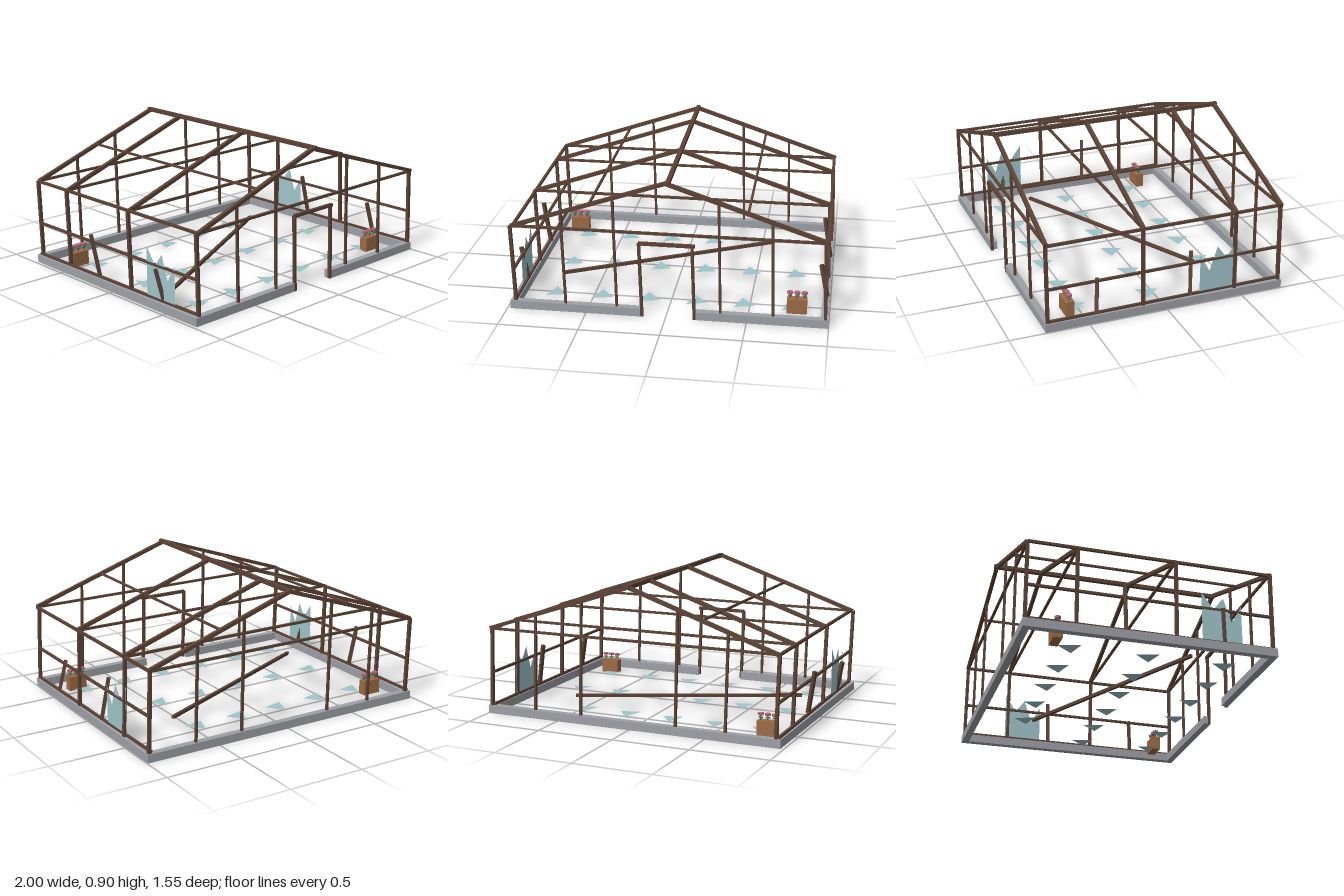
import * as THREE from 'three';

const mat = (name, color, extra = {}) => new THREE.MeshStandardMaterial({ name, color, ...extra });

export function createModel() {
  const beam = mat('old timber', 0x5d4336);
  const stone = mat('stone grey', 0x9da0a6);
  const glass = mat('pale glass', 0x9fc5ca, { side: THREE.DoubleSide });
  const crate = mat('planter wood', 0x9c6b45);
  const leaf = mat('leaf green', 0x47755a);
  const petal = mat('flower pink', 0xb5667c);

  const root = new THREE.Group();
  root.name = 'ruinedGreenhouse';
  const model = new THREE.Group();
  model.name = 'building';
  model.position.x = 0.008;
  root.add(model);

  const add = (name, geo, material, x = 0, y = 0, z = 0, parent = model) => {
    const m = new THREE.Mesh(geo, material);
    m.name = name;
    m.position.set(x, y, z);
    parent.add(m);
    return m;
  };
  const box = (name, material, w, h, d, x, y, z, parent) =>
    add(name, new THREE.BoxGeometry(w, h, d), material, x, y, z, parent);
  // Square bar between two points
  const bar = (name, a, b, t) => {
    const p = new THREE.Vector3(...a), q = new THREE.Vector3(...b);
    const m = add(name, new THREE.BoxGeometry(t, t, p.distanceTo(q)), beam);
    m.position.copy(p).add(q).multiplyScalar(0.5);
    m.lookAt(q);
    return m;
  };

  const X = 0.963, Z = 0.757, BASE = 0.053, EAVE = 0.555, RIDGE = 0.88, DOOR = 0.163;
  const roofY = x => RIDGE - (RIDGE - EAVE) * Math.abs(x) / X;

  // Foundation, open at the doorway
  const FX = 0.988, FZ = 0.774, FW = 0.045;
  box('backFoundation', stone, FX * 2, BASE, FW, 0, BASE / 2, -FZ + FW / 2);
  for (const s of [-1, 1]) {
    box('sideFoundation', stone, FW, BASE, FZ * 2 - FW * 2, s * (FX - FW / 2), BASE / 2, 0);
    box('frontFoundation', stone, FX - DOOR, BASE, FW, s * (FX + DOOR) / 2, BASE / 2, FZ - FW / 2);
  }

  // Frames: posts, rafters and tie beams
  for (const z of [Z, 0.152, -0.455, -Z]) {
    bar('tieBeam', [-X, EAVE, z], [X, EAVE, z], 0.015);
    for (const s of [-1, 1]) {
      bar('sidePost', [s * X, BASE, z], [s * X, EAVE, z], 0.02);
      bar('rafter', [s * (X + 0.005), EAVE, z], [0, RIDGE, z], 0.023);
    }
  }

  // Gable studs
  for (const z of [Z, -Z]) for (const x of [-0.645, -0.322, 0.322, 0.645])
    bar('gableStud', [x, BASE, z], [x, roofY(x), z], 0.015);

  // Lengthwise members
  bar('ridgeBeam', [0, RIDGE + 0.003, FZ], [0, RIDGE + 0.003, -FZ], 0.025);
  for (const s of [-1, 1]) {
    bar('purlin', [s * 0.483, 0.719, Z], [s * 0.483, 0.719, -Z], 0.013);
    bar('eaveBeam', [s * X, EAVE, Z], [s * X, EAVE, -Z], 0.016);
    bar('sideRail', [s * X, 0.272, Z], [s * X, 0.272, -Z], 0.015);
    bar('sillPlate', [s * X, 0.06, Z], [s * X, 0.06, -Z], 0.015);
  }

  // Door frame
  for (const s of [-1, 1]) bar('doorJamb', [s * DOOR, 0, 0.766], [s * DOOR, 0.49, 0.766], 0.018);
  bar('doorHeader', [-DOOR - 0.009, 0.489, 0.766], [DOOR + 0.009, 0.489, 0.766], 0.02);

  // Broken leaning posts
  for (const s of [-1, 1]) {
    bar('brokenPost', [s * X, 0.06, -0.157], [s * X - 0.03, 0.335, -0.177], 0.022);
    bar('brokenPost', [s * X, 0.06, 0.452], [s * X - 0.028, 0.268, 0.43], 0.022);
  }

  // Fallen beam across the floor
  bar('fallenBeam', [-0.765, 0.045, 0.305], [0.58, 0.061, -0.355], 0.02);

  // Jagged panes left in the side walls
  const jag = [[0, 0.068], [0, 0.31], [-0.063, 0.197], [-0.113, 0.352], [-0.175, 0.27], [-0.25, 0.375], [-0.25, 0.068]];
  for (const [s, z] of [[-1, 0.56], [1, -0.224]]) {
    const shape = new THREE.Shape(jag.map(([a, y]) => new THREE.Vector2(-a, y)));
    const pane = add('brokenPane', new THREE.ShapeGeometry(shape), glass, s * X, 0, z);
    pane.rotation.y = Math.PI / 2;
  }

  // Glass shards on the floor
  const shardShape = new THREE.Shape([[-0.025, 0.068], [-0.068, -0.068], [0.062, -0.036]].map(p => new THREE.Vector2(...p)));
  const shardGeo = new THREE.ShapeGeometry(shardShape).rotateX(-Math.PI / 2);
  for (let r = 0; r < 3; r++) for (let c = 0; c < 6; c++) {
    if (r === 0 && c === 5) continue;
    add('floorShard', shardGeo, glass, -0.741 + c * 0.301, 0.008, -0.452 + r * 0.48);
  }

  // Flower planters
  for (const [x, z] of [[-0.828, -0.545], [0.789, 0.575]]) {
    const g = new THREE.Group();
    g.name = 'planter';
    g.position.set(x, 0, z);
    model.add(g);
    box('planterBox', crate, 0.125, 0.095, 0.055, 0, 0.0475, 0, g);
    for (const i of [-1, 0, 1]) {
      add('stem', new THREE.CylinderGeometry(0.004, 0.004, 0.04, 6), leaf, i * 0.045, 0.112, 0, g);
      box('leaves', leaf, 0.026, 0.006, 0.014, i * 0.045, 0.112, 0, g);
      add('flower', new THREE.CylinderGeometry(0.02, 0.018, 0.013, 8), petal, i * 0.045, 0.133, 0, g);
    }
  }
  return root;
}
